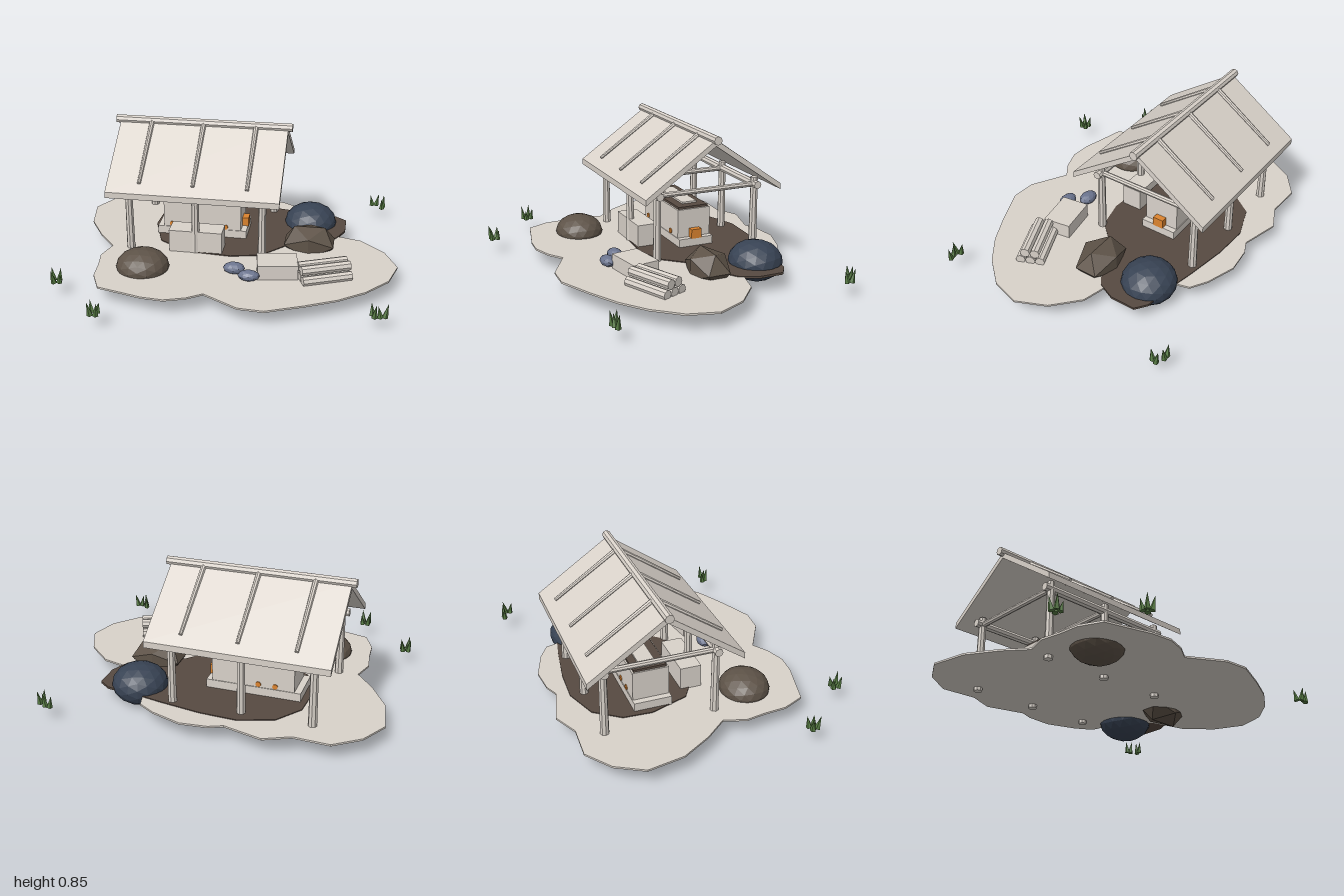
import * as THREE from 'three';

const mat = (name, color) => {
  const m = new THREE.MeshStandardMaterial({ color, flatShading: true });
  m.name = name;
  return m;
};

export function createModel() {
  const root = new THREE.Group();
  root.name = 'shelter';
  const pale = mat('pale timber', 0xd9d2ca);
  const soil = mat('dark soil', 0x574a41);
  const brown = mat('brown stone', 0x5e5348);
  const slate = mat('dark blue stone', 0x384354);
  const pebble = mat('blue grey stone', 0x6b748e);
  const orange = mat('glowing orange', 0xdc842f);
  const green = mat('grass green', 0x567a43);

  const add = (name, geo, material, x = 0, y = 0, z = 0, parent = root) => {
    const m = new THREE.Mesh(geo, material);
    m.name = name;
    m.position.set(x, y, z);
    parent.add(m);
    return m;
  };
  // Box given by its limits on each axis
  const box = (name, material, [x0, x1], [y0, y1], [z0, z1]) =>
    add(name, new THREE.BoxGeometry(x1 - x0, y1 - y0, z1 - z0), material,
      (x0 + x1) / 2, (y0 + y1) / 2, (z0 + z1) / 2);
  // Round pole between two points
  const pole = (name, a, b, rA, rB = rA, parent = root) => {
    const p = new THREE.Vector3(...a), q = new THREE.Vector3(...b);
    const d = q.clone().sub(p);
    const m = add(name, new THREE.CylinderGeometry(rB, rA, d.length(), 8), pale, 0, 0, 0, parent);
    m.position.copy(p).add(q).multiplyScalar(0.5);
    m.quaternion.setFromUnitVectors(new THREE.Vector3(0, 1, 0), d.normalize());
    return m;
  };
  // Flat slab from an outline of x, z pairs
  const slab = (name, pts, y0, y1, material) => {
    const shape = new THREE.Shape(pts.map(([x, z]) => new THREE.Vector2(x, -z)));
    const geo = new THREE.ExtrudeGeometry(shape, { depth: y1 - y0, bevelEnabled: false });
    return add(name, geo.rotateX(-Math.PI / 2), material, 0, y0, 0);
  };

  // Ground and soil patch
  slab('ground', [
    [-1, -0.47], [-0.91, -0.63], [-0.76, -0.74], [-0.55, -0.73], [-0.4, -0.8], [-0.17, -0.74],
    [-0.09, -0.775], [0.07, -0.79], [0.25, -0.73], [0.35, -0.67], [0.38, -0.56], [0.42, -0.42],
    [0.55, -0.3], [0.77, -0.245], [0.92, -0.11], [1, 0.065], [0.95, 0.24], [0.82, 0.39],
    [0.67, 0.5], [0.49, 0.59], [0.28, 0.68], [0.13, 0.67], [-0.08, 0.55], [-0.17, 0.61],
    [-0.29, 0.65], [-0.42, 0.64], [-0.53, 0.61], [-0.69, 0.57], [-0.75, 0.44], [-0.76, 0.31],
    [-0.78, 0.19], [-0.74, 0.06], [-0.85, -0.07], [-0.96, -0.25]], 0.099, 0.11, pale);
  slab('soilPatch', [
    [0.67, -0.51], [0.6, -0.56], [0.45, -0.58], [0.25, -0.62], [0, -0.66], [-0.22, -0.67],
    [-0.42, -0.6], [-0.53, -0.45], [-0.54, -0.28], [-0.46, -0.05], [-0.27, 0.07], [0, 0.09],
    [0.18, 0.05], [0.31, -0.09], [0.5, -0.17], [0.62, -0.25], [0.67, -0.36]], 0.102, 0.115, soil);

  // Posts, long beams and cross beams
  const ridgeZ = -0.262, zs = [0.057, -0.585], xs = [-0.624, -0.218, 0.188];
  for (const z of zs) {
    for (const x of xs) pole('post', [x, 0.078, z], [x, 0.548, z], 0.026, 0.022);
    pole('longBeam', [-0.67, 0.506, z], [0.234, 0.506, z], 0.024);
  }
  for (const x of xs) pole('crossBeam', [x, 0.504, zs[0]], [x, 0.504, zs[1]], 0.017);

  // Gable roof with ridge pole and battens
  const h = 0.44, t = 0.037, top = 0.828, eave = 0.523;
  const profile = new THREE.Shape([
    [-h, eave - t], [0, top - t], [h, eave - t], [h, eave], [0, top], [-h, eave],
  ].map(([a, y]) => new THREE.Vector2(a, y)));
  const roof = new THREE.ExtrudeGeometry(profile, { depth: 1.037, bevelEnabled: false });
  add('roof', roof.rotateY(Math.PI / 2), pale, -0.737, 0, ridgeZ);
  pole('ridgePole', [-0.764, 0.828, ridgeZ], [0.326, 0.828, ridgeZ], 0.026);
  for (const x of [-0.54, -0.218, 0.104])
    for (const s of [-1, 1])
      pole('roofBatten', [x, 0.832, ridgeZ], [x, 0.569, ridgeZ + s * 0.385], 0.016, 0.011);

  // Stove on a plinth with lid, fire box and embers
  box('stovePlinth', pale, [-0.5, 0.062], [0.1, 0.165], [-0.374, -0.15]);
  box('stoveBody', pale, [-0.462, 0.027], [0.165, 0.342], [-0.37, -0.154]);
  box('stoveLid', soil, [-0.452, 0.015], [0.342, 0.356], [-0.36, -0.165]);
  box('lidPlate', pale, [-0.39, -0.045], [0.356, 0.367], [-0.315, -0.218]);
  box('fireBox', orange, [0.027, 0.066], [0.162, 0.22], [-0.297, -0.23]);
  const ember = new THREE.CylinderGeometry(0.016, 0.016, 0.009, 10).rotateX(Math.PI / 2);
  for (const x of [-0.35, -0.25, -0.15]) add('ember', ember, orange, x, 0.184, -0.372);
  for (const x of [-0.41, -0.24, -0.07]) add('ember', ember, orange, x, 0.184, -0.152);

  // Chest by the middle post
  box('chest', pale, [-0.38, -0.055], [0.1, 0.25], [-0.052, 0.075]);

  // Low work block
  const block = box('workBlock', pale, [0.185, 0.42], [0.1, 0.198], [0.162, 0.328]);
  block.rotation.y = 0.16;

  // Stacked logs
  const logs = new THREE.Group();
  logs.name = 'logStack';
  logs.position.set(0.575, 0, 0.247);
  logs.rotation.y = 0.4;
  root.add(logs);
  for (const [y, z] of [[0.128, -0.058], [0.128, 0], [0.128, 0.058], [0.181, -0.029], [0.181, 0.029]])
    pole('log', [-0.148, y, z], [0.148, y, z], 0.029, 0.029, logs);

  // Boulders and stones
  const rock = (name, material, detail, [x, y, z], [rx, ry, rz], turn = 0) => {
    const geo = new THREE.IcosahedronGeometry(1, detail).rotateY(turn).scale(rx, ry, rz);
    add(name, geo, material, x, y, z);
  };
  rock('frontBoulder', brown, 2, [-0.49, 0.122, 0.3], [0.158, 0.102, 0.147]);
  rock('facetedBoulder', brown, 0, [0.46, 0.135, -0.135], [0.178, 0.118, 0.13]);
  rock('blueBoulder', slate, 2, [0.442, 0.12, -0.458], [0.165, 0.12, 0.16], 0.3);
  rock('smallStone', pebble, 1, [0.052, 0.135, 0.27], [0.065, 0.035, 0.045]);
  rock('smallStone', pebble, 1, [0.15, 0.14, 0.355], [0.065, 0.032, 0.043], 0.6);

  // Grass tufts: leaning five-sided blades
  const tufts = [[0.845, -0.835], [0.9, -0.8], [-0.95, 0.51], [-0.635, 0.82], [0.87, 0.605], [0.92, 0.61]];
  tufts.forEach(([x, z], i) => {
    const tuft = new THREE.Group();
    tuft.name = 'grassTuft';
    tuft.position.set(x, 0.09, z);
    tuft.rotation.y = i * 1.3;
    root.add(tuft);
    const blades = i === 2 || i === 3 ? 4 : 2;
    for (let k = 0; k < blades; k++) {
      const a = (k / blades) * Math.PI * 2, len = 0.085 - 0.012 * (k % 3);
      const geo = new THREE.ConeGeometry(0.018, len, 5).translate(0, len / 2, 0);
      const r = blades > 2 ? 0.022 : 0.012;
      const blade = add('blade', geo, green, Math.cos(a) * r, 0, Math.sin(a) * r, tuft);
      blade.rotation.set(Math.sin(a) * 0.2, 0, -Math.cos(a) * 0.2);
    }
  });
  return root;
}
